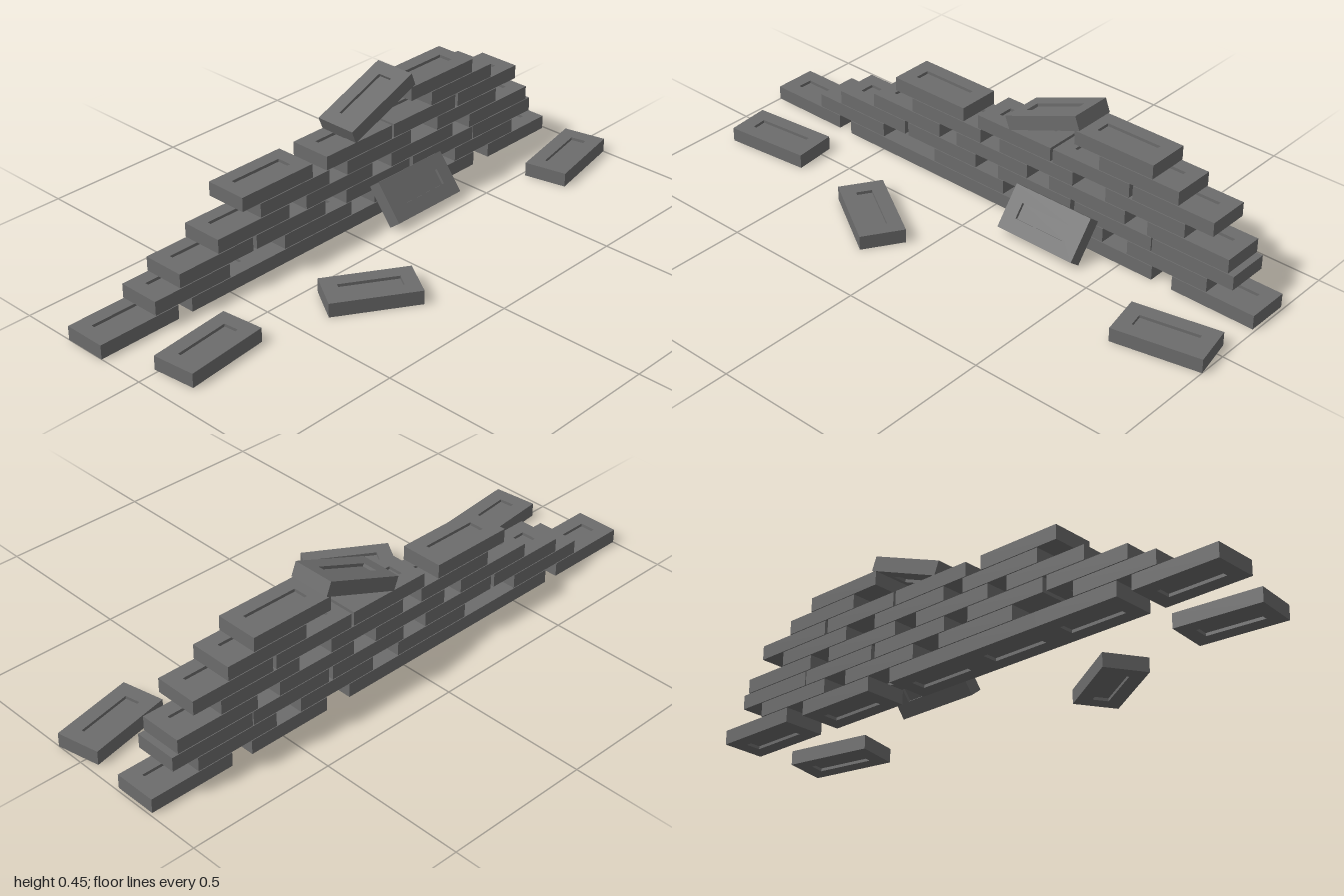
import * as THREE from 'three';
import { mergeGeometries } from 'three/addons/utils/BufferGeometryUtils.js';

const W = 0.148, H = 0.048, L = 0.295; // brick size
const PITCH = 0.0505;                  // course height
const WALL_X = -0.2375;

function rect(target, w, l) {
  target.moveTo(-w / 2, -l / 2);
  target.lineTo(w / 2, -l / 2);
  target.lineTo(w / 2, l / 2);
  target.lineTo(-w / 2, l / 2);
  target.closePath();
  return target;
}

// Brick with a shallow rectangular recess in its top and bottom
function brickGeometry() {
  const recessW = 0.052, recessL = 0.197, depth = 0.01;
  const outline = rect(new THREE.Shape(), W, L);
  outline.holes.push(rect(new THREE.Path(), recessW, recessL));
  const frame = new THREE.ExtrudeGeometry(outline, { depth: H, bevelEnabled: false });
  frame.translate(0, 0, -H / 2).rotateX(-Math.PI / 2);
  const core = new THREE.BoxGeometry(recessW, H - 2 * depth, recessL).toNonIndexed();
  return mergeGeometries([frame, core]);
}

export function createModel() {
  const model = new THREE.Group();
  model.name = 'ruinedBrickWall';
  const geometry = brickGeometry();
  const material = new THREE.MeshStandardMaterial({ color: 0x6c6c6c, flatShading: true });

  function addBrick(parent, name, position, rotation = [0, 0, 0]) {
    const brick = new THREE.Mesh(geometry, material);
    brick.name = name;
    brick.position.set(...position);
    brick.rotation.set(...rotation);
    parent.add(brick);
  }

  // Standing wall: z centres of the bricks in each course, bottom to top
  const courses = [
    [0.853, 0.505, 0.21, -0.085, -0.473, -0.843],
    [0.645, 0.12, -0.282, -0.672],
    [0.547, 0.237, -0.153, -0.464, -0.763],
    [0.392, 0.023, -0.362, -0.742],
    [0.216, -0.158, -0.581],
    [0.289, -0.068, -0.373, -0.681],
    [-0.552],
    [-0.455],
  ];
  courses.forEach((centres, row) => {
    const course = new THREE.Group();
    course.name = `course${row + 1}`;
    centres.forEach((z) => addBrick(course, 'wallBrick', [WALL_X, row * PITCH + H / 2, z]));
    model.add(course);
  });

  // Loose brick tipped against the top of the wall
  addBrick(model, 'tippedBrick', [WALL_X, 0.375, -0.179], [0.375, 0, 0]);

  // Brick leaning against the wall's side
  addBrick(model, 'leaningBrick', [-0.101, 0.073, -0.262], [0, 0, -0.91]);

  // Bricks lying on the ground: x, z, turn
  for (const [x, z, turn] of [[0.058, -0.841, 0.205], [0.17, 0.232, -0.56], [0.045, 0.775, 0.1]]) {
    addBrick(model, 'fallenBrick', [x, H / 2, z], [0, turn, 0]);
  }
  return model;
}
